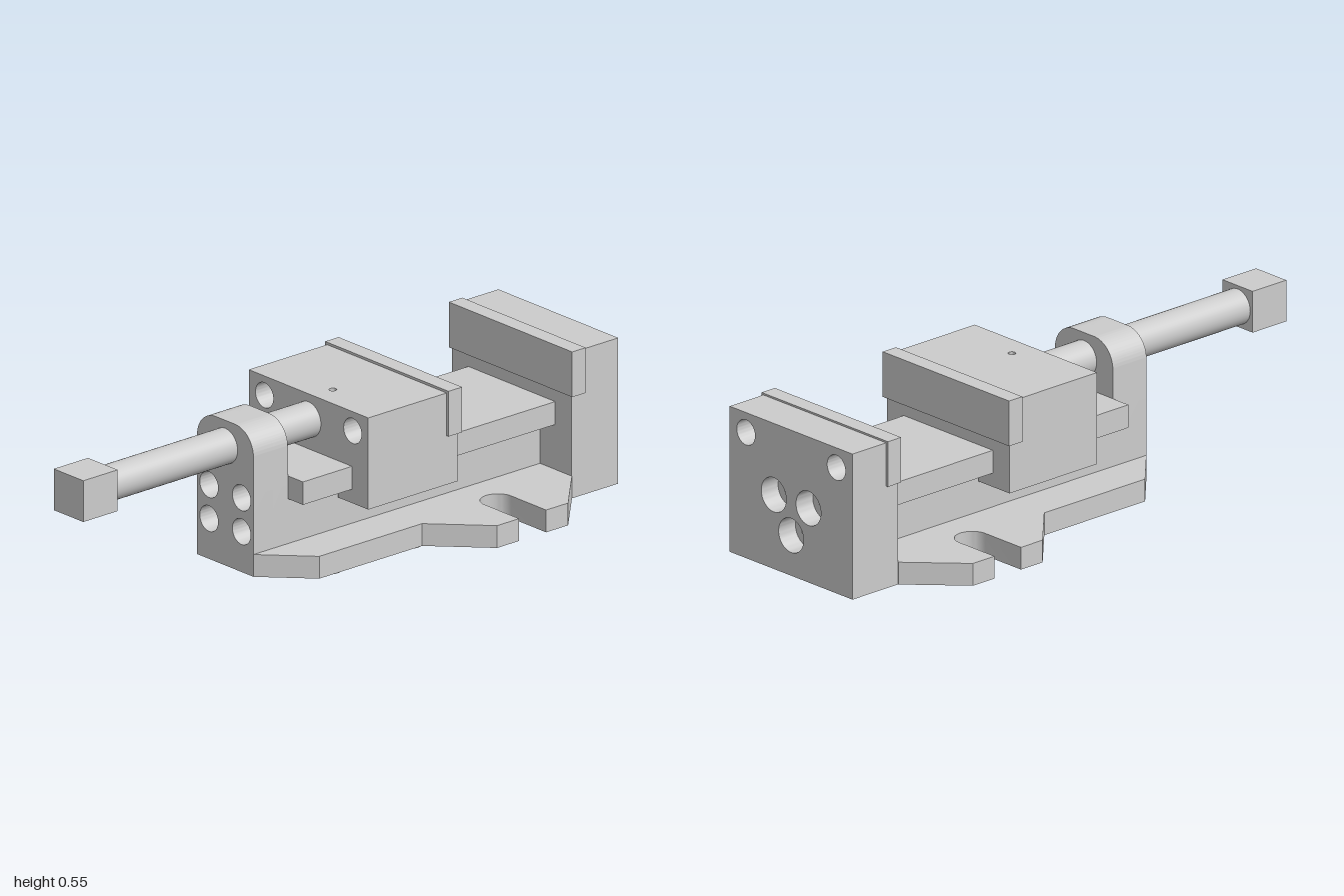
import * as THREE from 'three';
import { toCreasedNormals } from 'three/addons/utils/BufferGeometryUtils.js';

export function createModel() {
  const group = new THREE.Group();
  const mat = new THREE.MeshStandardMaterial({ color: 0xcccccc });

  const add = (name, geo, parent = group) => {
    const mesh = new THREE.Mesh(geo, mat);
    mesh.name = name;
    parent.add(mesh);
    return mesh;
  };
  const part = (name) => {
    const g = new THREE.Group();
    g.name = name;
    group.add(g);
    return g;
  };
  const box = (name, x0, x1, y0, y1, halfZ, parent) => {
    const geo = new THREE.BoxGeometry(x1 - x0, y1 - y0, halfZ * 2);
    geo.translate((x0 + x1) / 2, (y0 + y1) / 2, 0);
    return add(name, geo, parent);
  };
  const polygon = (pts) => new THREE.Shape(pts.map(([a, b]) => new THREE.Vector2(a, b)));
  const rect = (a0, a1, b0, b1) => polygon([[a0, b0], [a1, b0], [a1, b1], [a0, b1]]);

  // holes are [u, v, radius]
  const drill = (shape, holes) => {
    for (const [u, v, r] of holes) shape.holes.push(new THREE.Path().absarc(u, v, r, 0, Math.PI * 2, true));
    return shape;
  };
  const extrude = (shape, depth) =>
    toCreasedNormals(new THREE.ExtrudeGeometry(shape, { depth, bevelEnabled: false, curveSegments: 24 }), 0.6);
  // shape (z, y) swept from x0 to x1
  const alongX = (shape, x0, x1) => extrude(shape, x1 - x0).rotateY(Math.PI / 2).translate(x0, 0, 0);
  // shape (x, -z) swept from y0 to y1
  const alongY = (shape, y0, y1) => extrude(shape, y1 - y0).rotateX(-Math.PI / 2).translate(0, y0, 0);

  // base plate with chamfered nose and slotted ears
  const half = [[-0.36, 0.13], [-0.22, 0.275], [0.2, 0.275], [0.36, 0.44], [0.45, 0.44]];
  for (let i = 0; i <= 20; i++) {
    const a = Math.PI * (1 + i / 20);
    half.push([0.505 + 0.055 * Math.cos(a), 0.28 + 0.055 * Math.sin(a)]);
  }
  half.push([0.56, 0.44], [0.65, 0.44], [0.81, 0.277]);
  const mirrored = half.map(([x, z]) => [x, -z]).reverse();
  add('basePlate', alongY(polygon([...half, ...mirrored].reverse()), 0.065, 0.138));

  // web and wider guide rail
  box('railWeb', -0.22, 0.81, 0.138, 0.285, 0.13);
  box('guideRail', -0.22, 0.81, 0.285, 0.36, 0.2);

  // screw post with rounded top and four blind holes
  const post = part('screwPost');
  const postShape = () => {
    const s = new THREE.Shape();
    s.moveTo(-0.13, 0.138);
    s.lineTo(0.13, 0.138);
    s.lineTo(0.13, 0.455);
    s.absarc(0.045, 0.455, 0.085, 0, Math.PI / 2, false);
    s.absarc(-0.045, 0.455, 0.085, Math.PI / 2, Math.PI, false);
    return s;
  };
  const postHoles = [];
  for (const s of [-1, 1]) for (const y of [0.197, 0.308]) postHoles.push([s * 0.075, y, 0.042]);
  add('postFace', alongX(drill(postShape(), postHoles), -0.36, -0.28), post);
  add('postBack', alongX(postShape(), -0.28, -0.22), post);

  // clamping screw and square drive end
  const rod = new THREE.CylinderGeometry(0.057, 0.057, 0.88, 40).rotateZ(Math.PI / 2);
  add('clampScrew', rod.translate(-0.43, 0.457, 0));
  box('driveEnd', -1, -0.86, 0.39, 0.525, 0.068);

  // moving jaw straddling the rail, with counterbored holes
  const moving = part('movingJaw');
  const saddle = () => polygon([
    [-0.275, 0.285], [-0.2, 0.285], [-0.2, 0.36], [0.2, 0.36],
    [0.2, 0.285], [0.275, 0.285], [0.275, 0.52], [-0.275, 0.52],
  ]);
  const boltHoles = (r) => [[-0.203, 0.477, r], [0.203, 0.477, r]];
  add('jawFace', alongX(drill(saddle(), boltHoles(0.041)), -0.02, 0.06), moving);
  add('jawCore', alongX(drill(saddle(), boltHoles(0.022)), 0.06, 0.345), moving);
  add('jawTop', alongY(drill(rect(-0.02, 0.345, -0.275, 0.275), [[0.06, -0.022, 0.012]]), 0.52, 0.54), moving);
  box('jawPlate', 0.3, 0.355, 0.4, 0.548, 0.284, moving);

  // keepers that hook under the rail
  for (const s of [-1, 1]) {
    const [a, b] = s > 0 ? [0.135, 0.275] : [-0.275, -0.135];
    const holes = [[0.06, s * 0.238, 0.02], [0.27, s * 0.238, 0.02]];
    add('keeper', alongY(drill(rect(-0.02, 0.345, a, b), holes), 0.24, 0.285), moving);
  }

  // fixed jaw: counterbore layer, bore layer, solid layer
  const fixed = part('fixedJaw');
  const jawHoles = (big) => [
    ...boltHoles(big ? 0.041 : 0.023),
    [-0.078, 0.308, big ? 0.056 : 0.03], [0.078, 0.308, big ? 0.056 : 0.03],
    [0, 0.197, big ? 0.056 : 0.031],
  ];
  const slab = () => rect(-0.276, 0.276, 0.065, 0.542);
  add('counterboreLayer', alongX(drill(slab(), jawHoles(true)), 0.93, 1), fixed);
  add('boreLayer', alongX(drill(slab(), jawHoles(false)), 0.85, 0.93), fixed);
  add('innerLayer', alongX(slab(), 0.81, 0.85), fixed);
  box('jawPlate', 0.805, 0.86, 0.4, 0.548, 0.284, fixed);

  // hollow flanged feet
  const footProfile = [
    [0, 0.062], [0.03, 0.062], [0.03, 0], [0.06, 0], [0.06, 0.007], [0.044, 0.007], [0.044, 0.066],
  ].map(([r, y]) => new THREE.Vector2(r, y));
  const footGeo = toCreasedNormals(new THREE.LatheGeometry(footProfile, 32), 0.6);
  for (const x of [-0.035, 0.293, 0.628]) {
    for (const s of [-1, 1]) add('foot', footGeo).position.set(x, 0, s * 0.091);
  }

  return group;
}
